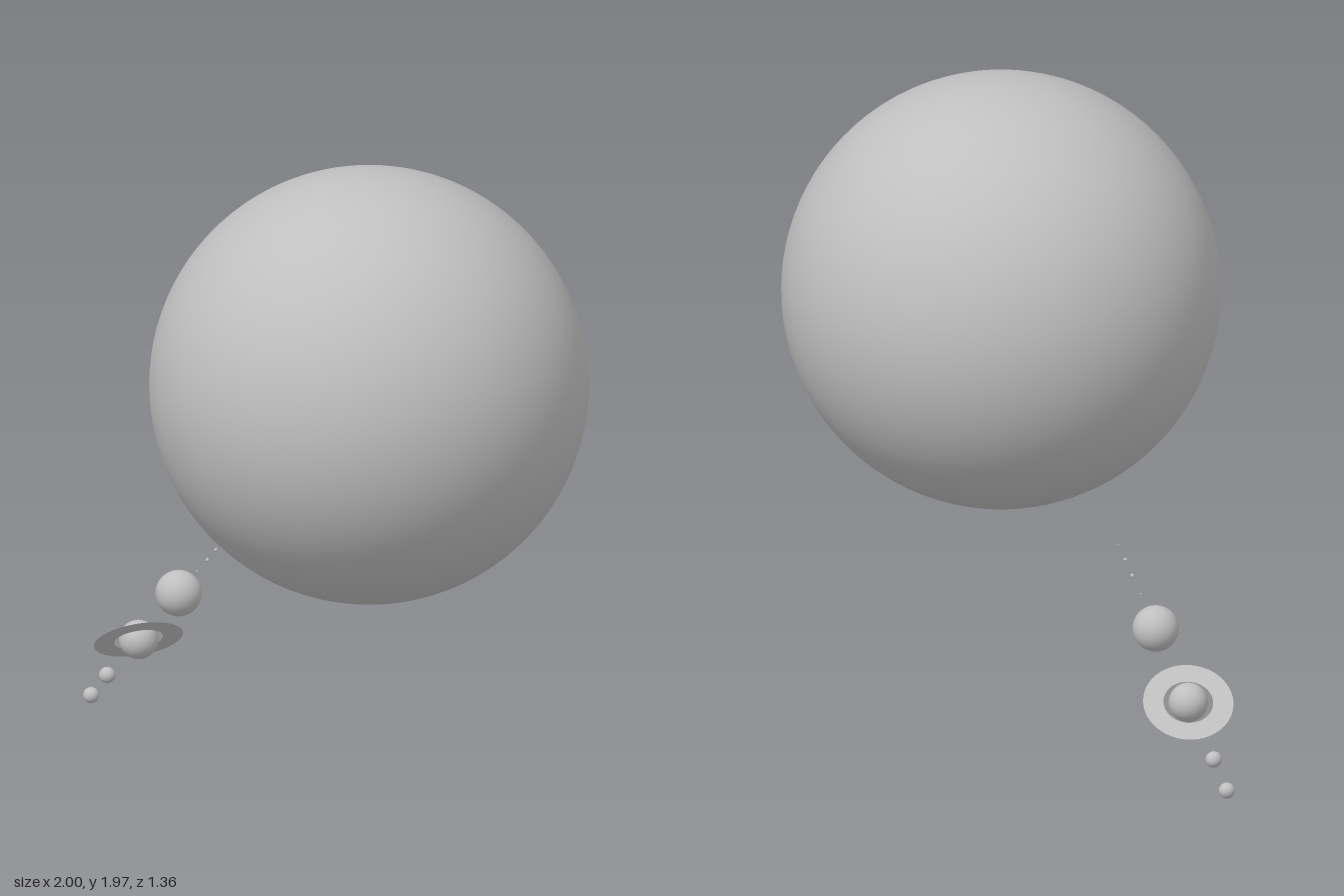
import * as THREE from 'three';

// name, radius, centre x, centre y (all centres lie on z = 0)
const BODIES = [
  ['sun', 0.68, 0.32, 1.293],
  ['firstPlanet', 0.0024, -0.353, 0.652],
  ['secondPlanet', 0.0059, -0.393, 0.614],
  ['thirdPlanet', 0.0062, -0.433, 0.573],
  ['fourthPlanet', 0.0033, -0.481, 0.527],
  ['giantPlanet', 0.072, -0.567, 0.439],
  ['ringedPlanet', 0.061, -0.754, 0.251],
  ['seventhPlanet', 0.0255, -0.9, 0.106],
  ['outerPlanet', 0.025, -0.975, 0.026],
];

export function createModel() {
  const model = new THREE.Group();
  model.name = 'planetarySystem';

  const grey = new THREE.MeshStandardMaterial({ color: 0xbfbfbf, side: THREE.DoubleSide });
  grey.name = 'grey';

  // Sun and planets in a descending diagonal row
  for (const [name, radius, x, y] of BODIES) {
    const detail = radius > 0.5 ? 96 : radius > 0.02 ? 48 : 24;
    const body = new THREE.Mesh(new THREE.SphereGeometry(radius, detail, detail / 2), grey);
    body.name = name;
    body.position.set(x, y, 0);
    model.add(body);
  }

  // Flat tilted ring around the ringed planet
  const ring = new THREE.Mesh(new THREE.RingGeometry(0.077, 0.14, 96), grey);
  ring.name = 'planetRing';
  ring.position.copy(model.getObjectByName('ringedPlanet').position);
  const normal = new THREE.Vector3(-0.54, 0.8, -0.27).normalize();
  ring.quaternion.setFromUnitVectors(new THREE.Vector3(0, 0, 1), normal);
  model.add(ring);

  return model;
}
